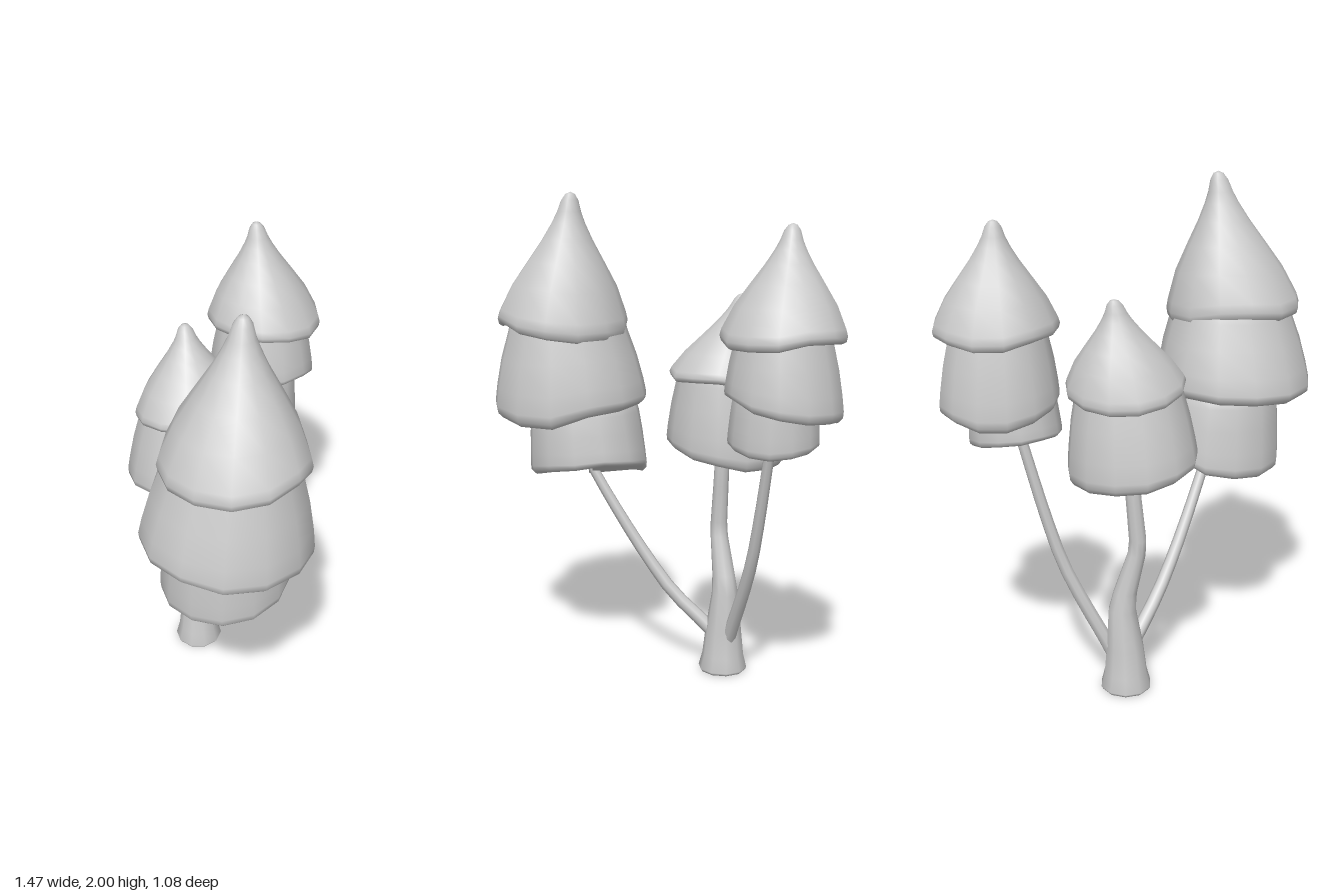
import * as THREE from 'three';
import { mergeVertices } from 'three/addons/utils/BufferGeometryUtils.js';

const material = new THREE.MeshStandardMaterial({ color: 0xcccccc });

// Profiles as [depth below the tip 0..1, share of the rim radius], tip first
const CAP = [[0, 0], [0.015, 0.07], [0.06, 0.13], [0.14, 0.18], [0.22, 0.25], [0.34, 0.38], [0.5, 0.58],
  [0.68, 0.8], [0.88, 0.97], [0.94, 1], [0.985, 0.98], [1, 0.93], [0.98, 0.8], [0.96, 0]];
const skirt = k => [[0, 0], [0.02, k * 0.8], [0.1, k * 0.94], [0.25, k], [0.5, k + (1 - k) * 0.5],
  [0.75, k + (1 - k) * 0.85], [0.9, 1], [0.96, 0.99], [1, 0.93], [0.98, 0.8], [0.97, 0]];

function addMesh(parent, name, geometry) {
  const mesh = new THREE.Mesh(geometry, material);
  mesh.name = name;
  parent.add(mesh);
}

// Lathe whose vertices are moved by a rule, welded and smoothed
function warpedLathe(points, sides, rule) {
  let g = new THREE.LatheGeometry(points.map(([r, y]) => new THREE.Vector2(r, y)), sides);
  const p = g.attributes.position, v = new THREE.Vector3();
  for (let i = 0; i < p.count; i++) {
    v.fromBufferAttribute(p, i);
    rule(v);
    p.setXYZ(i, v.x, v.y, v.z);
  }
  g.deleteAttribute('normal');
  g.deleteAttribute('uv');
  g = mergeVertices(g, 1e-4);
  g.computeVertexNormals();
  return g;
}

// Rim height at an angle, from eight heights running +z, +x, -z, -x
function rimHeight(rim, angle) {
  const s = ((angle / (Math.PI * 2)) * 8 + 16) % 8;
  const i = Math.floor(s) % 8, f = s - Math.floor(s);
  const e = f * f * (3 - 2 * f);
  return rim[i] * (1 - e) + rim[(i + 1) % 8] * e;
}

// One foliage tier: tip [x, y, z], rim centre [x, z], rim radii [x, z]
function tier(profile, tip, centre, radii, rim) {
  const points = profile.map(([u, r]) => [r, -u]).reverse();
  return warpedLathe(points, 13, v => {
    const u = -v.y, low = rimHeight(rim, Math.atan2(v.x, v.z));
    const mean = rim.reduce((a, b) => a + b) / 8;
    const bottom = mean + (low - mean) * u;
    v.set(
      THREE.MathUtils.lerp(tip[0], centre[0], Math.min(1, u * 1.1)) + v.x * radii[0],
      tip[1] + (bottom - tip[1]) * u,
      THREE.MathUtils.lerp(tip[2], centre[1], Math.min(1, u * 1.1)) + v.z * radii[1]);
  });
}

// Tapered tube along a curve
function branch(points, r0, r1) {
  const curve = new THREE.CatmullRomCurve3(points.map(p => new THREE.Vector3(...p)));
  const rings = 10, sides = 8;
  const g = new THREE.TubeGeometry(curve, rings, 1, sides);
  const p = g.attributes.position, v = new THREE.Vector3();
  for (let i = 0; i < p.count; i++) {
    const t = Math.floor(i / (sides + 1)) / rings, c = curve.getPointAt(t);
    v.fromBufferAttribute(p, i).sub(c).multiplyScalar(r0 + (r1 - r0) * t).add(c);
    p.setXYZ(i, v.x, v.y, v.z);
  }
  return g;
}

const CROWNS = [
  { name: 'rightCrown', tiers: [
    [CAP, [-0.34, 2, 0.24], [-0.412, 0.255], [0.275, 0.275], [1.47, 1.42, 1.4, 1.41, 1.45, 1.43, 1.44, 1.44]],
    [skirt(0.78), [-0.4, 1.54, 0.24], [-0.418, 0.22], [0.32, 0.325], [1.08, 1.05, 1.11, 1.13, 1.12, 1.11, 1.12, 1.09]],
    [skirt(0.92), [-0.37, 1.18, 0.18], [-0.357, 0.165], [0.255, 0.25], [0.84, 0.88, 0.9, 0.87, 0.81, 0.8, 0.81, 0.81]],
  ] },
  { name: 'middleCrown', tiers: [
    [CAP, [0.058, 1.6, -0.345], [0.018, -0.29], [0.228, 0.228], [1.25, 1.26, 1.24, 1.21, 1.2, 1.22, 1.26, 1.27]],
    [skirt(0.82), [0.01, 1.34, -0.29], [-0.008, -0.305], [0.25, 0.24], [0.97, 0.93, 0.9, 0.9, 0.91, 0.94, 0.97, 0.98]],
  ] },
  { name: 'leftCrown', tiers: [
    [CAP, [0.49, 1.88, -0.315], [0.497, -0.28], [0.237, 0.236], [1.43, 1.43, 1.46, 1.45, 1.43, 1.46, 1.47, 1.46]],
    [skirt(0.83), [0.49, 1.53, -0.285], [0.492, -0.29], [0.227, 0.222], [1.24, 1.19, 1.17, 1.16, 1.13, 1.16, 1.2, 1.24]],
    [skirt(0.92), [0.45, 1.29, -0.28], [0.437, -0.28], [0.178, 0.175], [1.04, 1.02, 1.03, 1.05, 1.07, 1.08, 1.07, 1.05]],
  ] },
];

export function createModel() {
  const model = new THREE.Group();
  model.name = 'tree';

  // Trunk: [radius, height], bent sideways by a few [height, x] stations
  const trunkProfile = [[0, 0], [0.095, 0], [0.103, 0.012], [0.088, 0.07], [0.076, 0.18], [0.056, 0.34],
    [0.048, 0.42], [0.037, 0.58], [0.035, 0.64], [0.032, 0.8], [0.03, 1.02], [0, 1.02]];
  const bend = [[0, 0.018], [0.18, 0.022], [0.34, 0.033], [0.42, 0.02], [0.58, -0.024], [0.64, -0.028], [0.8, -0.013], [1.02, 0.006]];
  addMesh(model, 'trunk', warpedLathe(trunkProfile, 10, v => {
    const i = Math.max(1, bend.findIndex(b => b[0] >= v.y - 1e-5));
    const [a, b] = [bend[i - 1], bend[i]];
    v.x += THREE.MathUtils.mapLinear(v.y, a[0], b[0], a[1], b[1]);
    v.z -= 0.292;
  }));

  // Side branches
  addMesh(model, 'rightBranch', branch([[0.0, 0.16, -0.26], [-0.04, 0.22, -0.21], [-0.11, 0.33, -0.115],
    [-0.18, 0.48, -0.025], [-0.25, 0.66, 0.07], [-0.32, 0.86, 0.165], [-0.34, 0.93, 0.19]], 0.03, 0.02));
  addMesh(model, 'leftBranch', branch([[0.06, 0.13, -0.292], [0.11, 0.23, -0.292], [0.19, 0.38, -0.292],
    [0.265, 0.54, -0.29], [0.33, 0.74, -0.287], [0.41, 1.03, -0.282], [0.43, 1.1, -0.28]], 0.029, 0.02));

  // Crowns of stacked tiers
  for (const { name, tiers } of CROWNS) {
    const crown = new THREE.Group();
    crown.name = name;
    tiers.forEach((t, i) => addMesh(crown, ['topTier', 'secondTier', 'thirdTier'][i], tier(...t)));
    model.add(crown);
  }
  return model;
}
